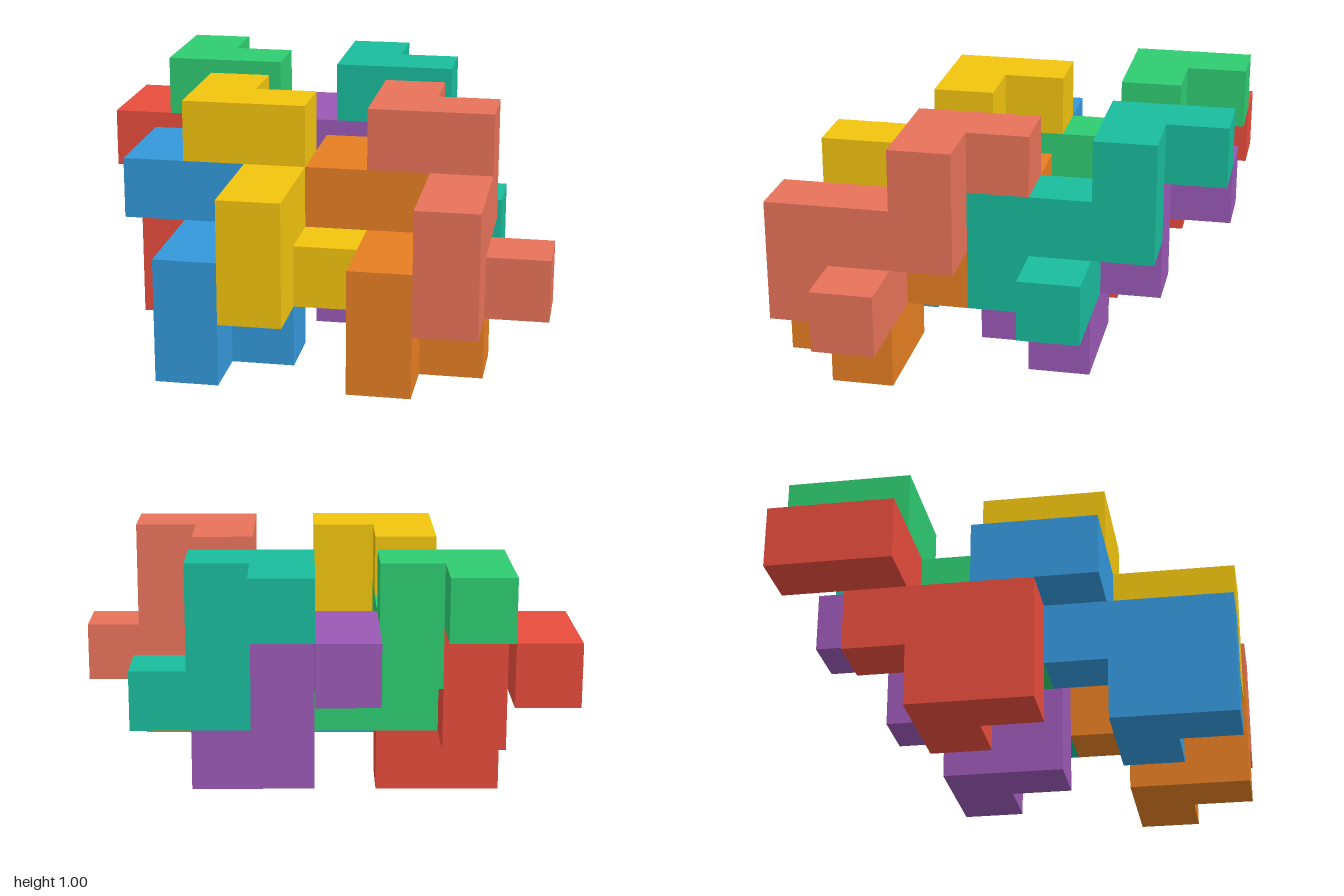
import * as THREE from 'three';
import { mergeGeometries } from 'three/addons/utils/BufferGeometryUtils.js';

const U = 0.25; // edge of one cube cell

// Zigzag chain of nine cells [x, y, z] shared by every interlocking piece
const CELLS = [
  [0, 2, 0], [0, 2, 1], [1, 2, 1],
  [1, 1, 1], [1, 1, 2], [1, 1, 3],
  [1, 0, 3], [1, 0, 2], [2, 0, 2],
];

// Pieces: name, colour, cell position in the 8 x 4 x 7 lattice
const PIECES = [
  ['redPiece', 0xe74c3c, [0, 0, 0]],
  ['greenPiece', 0x2ecc71, [1, 1, 0]],
  ['purplePiece', 0x9b59b6, [3, 0, 0]],
  ['tealPiece', 0x1abc9c, [4, 1, 0]],
  ['bluePiece', 0x3498db, [1, 0, 3]],
  ['yellowPiece', 0xf1c40f, [2, 1, 3]],
  ['orangePiece', 0xe67e22, [4, 0, 3]],
  ['coralPiece', 0xe8735a, [5, 1, 3]],
];

const DIRECTIONS = [
  [1, 0, 0], [-1, 0, 0], [0, 1, 0], [0, -1, 0], [0, 0, 1], [0, 0, -1],
];

// Outer skin of the chain: a square wherever a cell has no neighbour
function pieceGeometry() {
  const filled = new Set(CELLS.map(String));
  const forward = new THREE.Vector3(0, 0, 1);
  const faces = [];
  for (const cell of CELLS) {
    for (const dir of DIRECTIONS) {
      if (filled.has(String(cell.map((c, a) => c + dir[a])))) continue;
      const turn = new THREE.Quaternion().setFromUnitVectors(forward, new THREE.Vector3(...dir));
      const center = cell.map((c, a) => (c + 0.5 + dir[a] / 2) * U);
      faces.push(new THREE.PlaneGeometry(U, U).applyQuaternion(turn).translate(...center));
    }
  }
  return mergeGeometries(faces);
}

export function createModel() {
  const model = new THREE.Group();
  model.name = 'interlockingPuzzle';
  const geometry = pieceGeometry();
  for (const [name, color, [x, y, z]] of PIECES) {
    const piece = new THREE.Mesh(geometry, new THREE.MeshStandardMaterial({ color }));
    piece.name = name;
    piece.position.set(x * U - 1, y * U, z * U - 0.875);
    model.add(piece);
  }
  return model;
}
